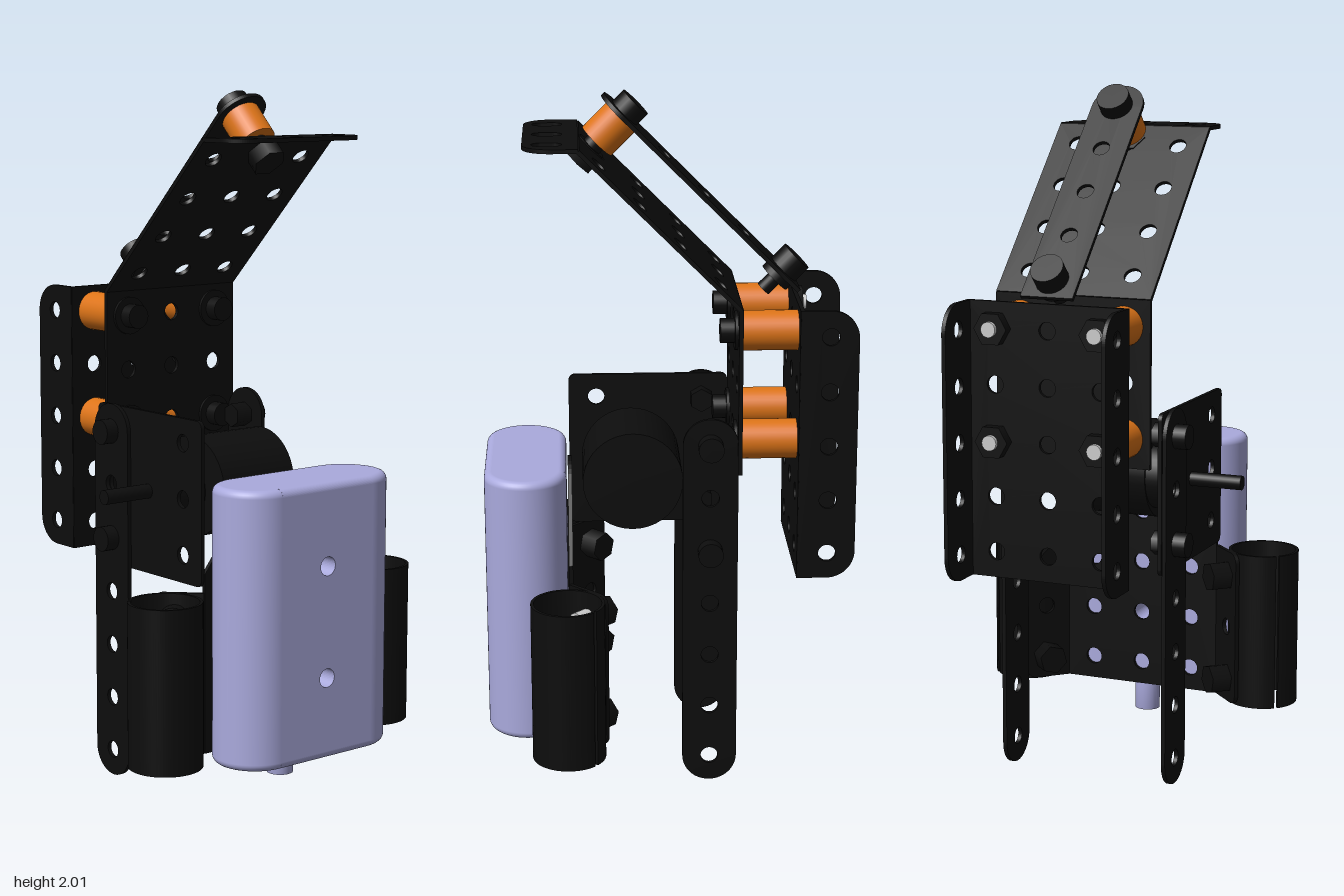
import * as THREE from 'three';

const paint = (color) => new THREE.MeshStandardMaterial({ color });
const BLACK = paint(0x0d0d0d), ORANGE = paint(0xdd7418), LILAC = paint(0xaaaadd), GREY = paint(0xcccccc);
const T = 0.012; // sheet thickness
const PITCH = 0.16, COLS = [-0.144, 0.016, 0.176]; // hole columns across the wide plates
const V = (x, y, z) => new THREE.Vector3(x, y, z);

export function createModel() {
  const model = new THREE.Group();

  const add = (name, geometry, material = BLACK, parent = model) => {
    const mesh = new THREE.Mesh(geometry, material);
    mesh.name = name;
    parent.add(mesh);
    return mesh;
  };

  // Rectangle with its own radius per corner: bottom left, bottom right, top right, top left
  const outline = (x0, y0, x1, y1, [a, b, c, d] = [0, 0, 0, 0]) => {
    const s = new THREE.Shape();
    const H = Math.PI / 2;
    s.absarc(x0 + a, y0 + a, a, 2 * H, 3 * H);
    s.absarc(x1 - b, y0 + b, b, 3 * H, 4 * H);
    s.absarc(x1 - c, y1 - c, c, 0, H);
    s.absarc(x0 + d, y1 - d, d, H, 2 * H);
    s.closePath();
    return s;
  };

  // Round holes, or slots when a length is given
  const punch = (shape, holes, r = 0.025) => {
    for (const [x, y, len = 0] of holes) {
      const p = new THREE.Path();
      p.absarc(x, y + len / 2, r, 0, Math.PI);
      p.absarc(x, y - len / 2, r, Math.PI, 2 * Math.PI);
      p.closePath();
      shape.holes.push(p);
    }
    return shape;
  };

  const grid = (xs, ys) => xs.flatMap((x) => ys.map((y) => [x, y]));
  const steps = (start, n) => Array.from({ length: n }, (_, i) => start + i * PITCH);
  const sheet = (shape, depth = T) =>
    new THREE.ExtrudeGeometry(shape, { depth, bevelEnabled: false, curveSegments: 10 }).translate(0, 0, -depth / 2);
  // Sheet facing x, with shape x running along -z
  const crossSheet = (shape, depth = T) => sheet(shape, depth).rotateY(Math.PI / 2);

  const rod = (name, from, to, r, material = BLACK, sides = 24) => {
    const dir = to.clone().sub(from);
    const mesh = add(name, new THREE.CylinderGeometry(r, r, dir.length(), sides), material);
    mesh.position.copy(from).add(to).multiplyScalar(0.5);
    mesh.quaternion.setFromUnitVectors(V(0, 1, 0), dir.normalize());
    return mesh;
  };

  // Rear channel: web and two side flanges
  const rearRows = steps(0.715, 5);
  add('rearChannelWeb', crossSheet(punch(outline(-0.225, 0.64, 0.262, 1.43), grid(COLS, rearRows)))).position.x = -0.37;
  for (const z of [0.22, -0.257]) {
    add('rearChannelFlange', sheet(punch(outline(-0.53, 0.64, -0.366, 1.43, [0.08, 0, 0, 0.08]),
      grid([-0.45], rearRows)))).position.z = z;
  }

  // Bent top plate: upright, 45 degree slope and slotted flat tab
  add('uprightPlate', crossSheet(punch(outline(-0.222, 0.95, 0.254, 1.432), grid(COLS, steps(1.035, 3))))).position.x = -0.2;
  const slope = add('slopedPlate', crossSheet(punch(outline(-0.222, 0, 0.254, 0.635), grid(COLS, steps(0.08, 4)))));
  slope.position.set(-0.2, 1.43, 0);
  slope.rotation.z = -Math.PI / 4;
  const tab = add('slottedTab', crossSheet(punch(outline(-0.222, 0, 0.254, 0.155, [0, 0, 0.08, 0.08]),
    COLS.map((c) => [c, 0.087, 0.035]))));
  tab.position.set(0.248, 1.88, 0);
  tab.rotation.z = -Math.PI / 2;

  // Narrow strip lying parallel above the slope
  const strip = add('topStrip', crossSheet(punch(outline(-0.062, -0.06, 0.096, 0.72, [0, 0, 0.078, 0.078]),
    grid([0.017], steps(0, 5)))));
  strip.position.set(-0.332, 1.488, 0);
  strip.rotation.z = -Math.PI / 4;

  // Hardware perpendicular to the slope: distance is measured down from the strip
  const tilted = (name, x, y, d0, d1, r, material, sides) => {
    const k = Math.SQRT1_2;
    rod(name, V(x + d0 * k, y - d0 * k, -0.017), V(x + d1 * k, y - d1 * k, -0.017), r, material, sides);
  };
  tilted('topBoltHead', 0.12, 1.94, -0.05, 0, 0.048);
  tilted('topSpacer', 0.12, 1.94, 0.005, 0.105, 0.057, ORANGE, 32);
  tilted('topWasher', 0.12, 1.94, 0.105, 0.125, 0.03);
  tilted('topNut', 0.12, 1.94, 0.125, 0.185, 0.05, BLACK, 6);
  tilted('lowerStripBoltHead', -0.332, 1.488, -0.06, 0.03, 0.048);
  tilted('lowerStripBoltTip', -0.332, 1.488, 0.03, 0.075, 0.022);

  // Spacers between rear channel and upright plate
  for (const z of [-0.176, 0.143]) for (const y of [1.035, 1.355]) {
    rod('spacer', V(-0.364, y, z), V(-0.206, y, z), 0.057, ORANGE, 32);
    rod('spacerNut', V(-0.408, y, z), V(-0.376, y, z), 0.05, BLACK, 6);
    rod('spacerBoltTip', V(-0.42, y, z), V(-0.4, y, z), 0.022, GREY);
    rod('spacerWasher', V(-0.194, y, z), V(-0.185, y, z), 0.055);
    rod('spacerBoltHead', V(-0.185, y, z), V(-0.145, y, z), 0.035);
  }

  // Legs: perforated bars with round ends
  for (const z of [0.262, -0.243]) {
    add('leg', sheet(punch(outline(-0.196, 0.003, -0.038, 1.115, [0.078, 0.078, 0.078, 0.078]),
      grid([-0.117], steps(0.08, 7))))).position.z = z;
    const side = Math.sign(z);
    for (const y of [1.035, 0.72]) {
      rod('legBoltHead', V(-0.117, y, z + side * 0.005), V(-0.117, y, z + side * 0.045), 0.036);
      rod('legNut', V(-0.117, y, z - side * 0.06), V(-0.117, y, z - side * 0.005), 0.036, BLACK, 6);
    }
  }

  // Motor behind its mounting plate
  add('motorPlate', sheet(punch(outline(-0.196, 0.64, 0.283, 1.11, [0.02, 0.02, 0.02, 0.02]),
    grid([-0.117, 0.2], [0.72, 0.88, 1.04])))).position.z = 0.248;
  rod('motorBody', V(0.1, 0.89, -0.12), V(0.1, 0.89, 0.14), 0.145, BLACK, 40);
  rod('motorGearbox', V(0.06, 0.88, 0.14), V(0.06, 0.88, 0.242), 0.1, BLACK, 40);
  rod('motorShaft', V(0.04, 0.88, 0.24), V(0.04, 0.88, 0.41), 0.021);

  // Front bracket: tapered plate with angled wings that hold the tubes
  const taper = new THREE.Shape();
  taper.moveTo(-0.245, 0.16).lineTo(0.245, 0.16).lineTo(0.245, 0.68).lineTo(0.07, 0.9)
    .quadraticCurveTo(0, 0.96, -0.07, 0.9).lineTo(-0.245, 0.68).closePath();
  punch(taper, [...grid([-0.16, 0, 0.16], [0.23, 0.39, 0.55]), [0, 0.71]]);
  add('frontBracket', crossSheet(taper)).position.x = 0.282;

  for (const s of [1, -1]) {
    const wing = add('bracketWing', sheet(punch(outline(0, 0.16, 0.145, 0.625, [0, 0.03, 0.03, 0]),
      grid([0.08], [0.23, 0.39, 0.55]))));
    wing.position.set(0.284, 0, s * 0.245);
    wing.rotation.y = s * -0.75 * Math.PI;

    // Bolts through wing and tube, square to the wing
    const across = (name, y, a, b, r, material, sides) =>
      rod(name, V(0.225 + a, y, s * (0.3 + a)), V(0.225 + b, y, s * (0.3 + b)), r, material, sides);
    for (const y of [0.23, 0.55]) {
      across('wingNut', y, -0.045, 0, 0.045, BLACK, 6);
      if (s > 0) across('tubeBoltHead', y, 0.015, 0.045, 0.045);
      else across('tubeBoltTip', y, 0, 0.045, 0.025, GREY);
    }

    // Thin split tube
    const R = 0.105, r = 0.096, gap = 0.05, cut = s * -0.76 * Math.PI;
    const ring = new THREE.Shape();
    ring.absarc(0, 0, R, cut + gap, cut + 2 * Math.PI - gap);
    ring.absarc(0, 0, r, cut + 2 * Math.PI - gap, cut + gap, true);
    ring.closePath();
    const tube = new THREE.ExtrudeGeometry(ring, { depth: 0.47, bevelEnabled: false, curveSegments: 48 });
    add('splitTube', tube.rotateX(-Math.PI / 2)).position.set(0.293, 0.155, s * 0.39);
  }

  // Battery case: drilled slab, rounded caps and half-round ends
  const pack = new THREE.Group();
  pack.name = 'batteryCase';
  pack.position.set(0.41, 0.155, 0);
  model.add(pack);
  const R = 0.118, F = 0.022, H = 0.79, L = 0.167;
  add('caseSlab', crossSheet(punch(outline(-L, F, L, H - F), [[0, 0.235], [0, 0.555]], 0.027), 2 * R), LILAC, pack);
  add('caseTop', sheet(outline(-R, H - F, R, H, [0, 0, F, F]), 2 * L), LILAC, pack);
  add('caseBottom', sheet(outline(-R, 0, R, F, [F, F, 0, 0]), 2 * L), LILAC, pack);
  const profile = [new THREE.Vector2(0, 0)];
  for (const [cy, start] of [[F, -Math.PI / 2], [H - F, 0]]) {
    for (let i = 0; i <= 6; i++) {
      const a = start + (i / 6) * Math.PI / 2;
      profile.push(new THREE.Vector2(R - F + F * Math.cos(a), cy + F * Math.sin(a)));
    }
  }
  profile.push(new THREE.Vector2(0, H));
  for (const s of [1, -1]) {
    add('caseEnd', new THREE.LatheGeometry(profile, 32, -s * Math.PI / 2, Math.PI), LILAC, pack).position.z = s * L;
  }

  // Hollow cable spout under the case
  const spout = [[0.02, 0.09], [0.02, 0], [0.038, 0], [0.038, 0.09]].map(([x, y]) => new THREE.Vector2(x, y));
  add('cableSpout', new THREE.LatheGeometry(spout, 24), LILAC).position.set(0.328, 0.07, 0);

  return model;
}
